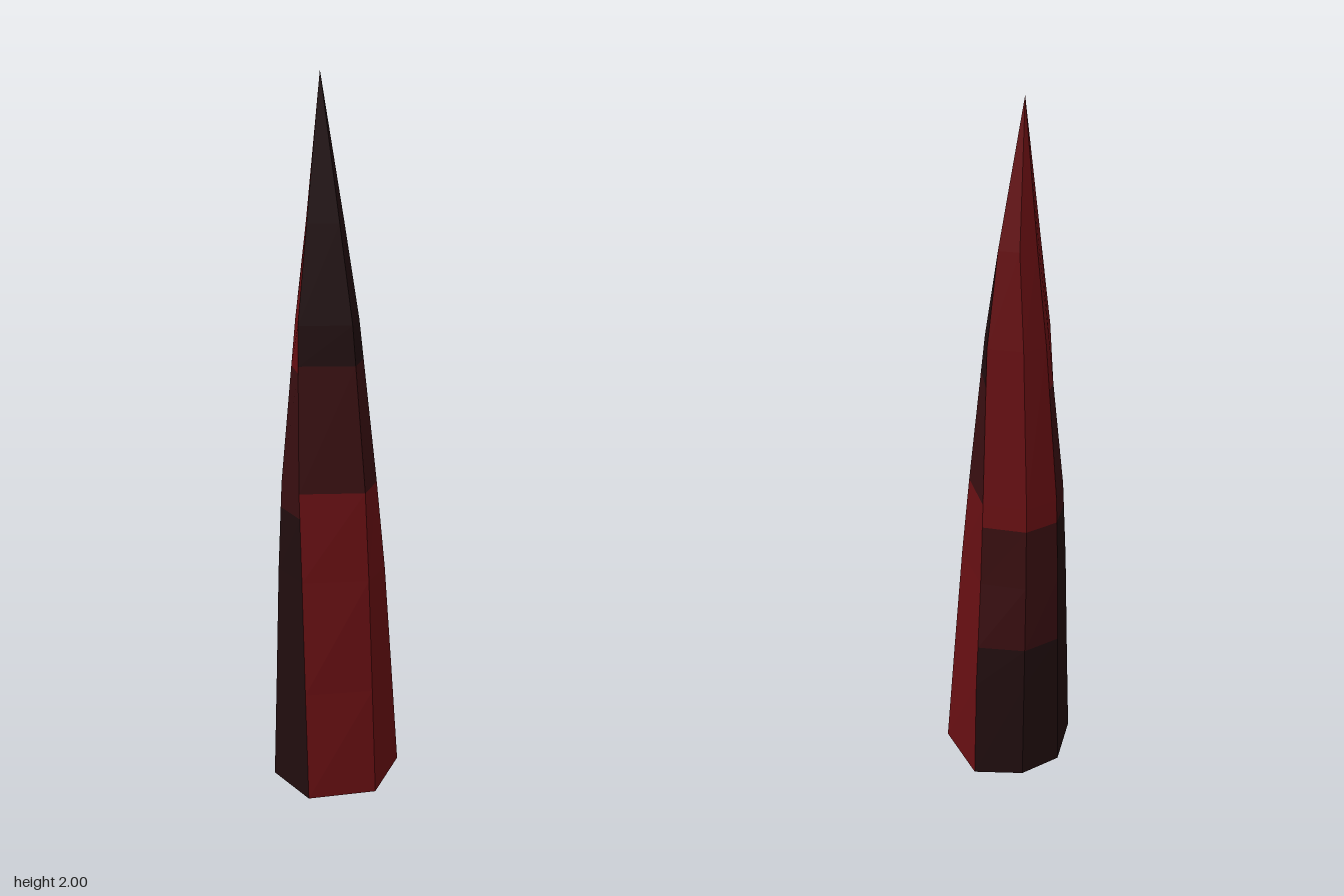
import * as THREE from 'three';

// Heights at which every ridge of the spike bends
const HEIGHTS = [0, 0.3, 0.62, 0.87, 1.33, 1.6, 2];
const TIP = [-0.045, -0.01];

// Seven ridges, counter-clockwise from the front: [x, z] at each height
const RIDGES = [
  [[-0.061, 0.218], [-0.072, 0.19], [-0.083, 0.16], [-0.092, 0.138], [-0.097, 0.095], [-0.076, 0.053], TIP],
  [[0.123, 0.158], [0.112, 0.142], [0.1, 0.126], [0.088, 0.113], [0.05, 0.078], [0.012, 0.043], TIP],
  [[0.175, -0.064], [0.157, -0.034], [0.137, -0.002], [0.113, -0.002], [0.062, -0.012], [0.02, -0.012], TIP],
  [[0.055, -0.222], [0.053, -0.198], [0.048, -0.152], [0.043, -0.136], [0.037, -0.1], [0.013, -0.07], TIP],
  [[-0.084, -0.199], [-0.084, -0.18], [-0.083, -0.155], [-0.08, -0.138], [-0.062, -0.098], [-0.045, -0.07], TIP],
  [[-0.173, -0.108], [-0.167, -0.096], [-0.16, -0.08], [-0.151, -0.068], [-0.114, -0.05], [-0.085, -0.037], TIP],
  [[-0.175, 0.061], [-0.168, 0.05], [-0.161, 0.04], [-0.152, 0.028], [-0.115, -0.015], [-0.084, -0.013], TIP],
];

// Colour bands of each side, from the bottom up, and the heights between them
const RISING = { bands: ['red', 'maroon', 'black'], cuts: [0.87, 1.22] };
const FALLING = { bands: ['black', 'maroon', 'red'], cuts: [0.8, 1.2] };
const FALLING_LOW = { bands: ['black', 'maroon', 'red'], cuts: [0.42, 0.8] };
const SIDES = [RISING, RISING, RISING, FALLING_LOW, FALLING_LOW, FALLING, FALLING];

// Point on a ridge at any height
function ridgePoint(ridge, y) {
  let i = 0;
  while (i < HEIGHTS.length - 2 && y > HEIGHTS[i + 1]) i++;
  const t = (y - HEIGHTS[i]) / (HEIGHTS[i + 1] - HEIGHTS[i]);
  const [a, b] = [ridge[i], ridge[i + 1]];
  return [a[0] + (b[0] - a[0]) * t, y, a[1] + (b[1] - a[1]) * t];
}

export function createModel() {
  const group = new THREE.Group();
  group.name = 'crystalSpike';

  const materials = {};
  for (const [name, color] of [['red', 0x660f12], ['maroon', 0x380e10], ['black', 0x200d0e]]) {
    materials[name] = new THREE.MeshStandardMaterial({ color, flatShading: true });
    materials[name].name = name;
  }

  function addFacets(name, points, colour) {
    const geometry = new THREE.BufferGeometry();
    geometry.setAttribute('position', new THREE.Float32BufferAttribute(points.flat(), 3));
    geometry.computeVertexNormals();
    const mesh = new THREE.Mesh(geometry, materials[colour]);
    mesh.name = name;
    group.add(mesh);
  }

  // Sides: each runs between two ridges and is split into three colour bands
  SIDES.forEach(({ bands, cuts }, s) => {
    const left = RIDGES[s];
    const right = RIDGES[(s + 1) % RIDGES.length];
    const limits = [0, ...cuts, 2];
    bands.forEach((colour, b) => {
      const [low, high] = [limits[b], limits[b + 1]];
      const levels = [low, ...HEIGHTS.filter((h) => h > low && h < high), high];
      const points = [];
      for (let i = 0; i < levels.length - 1; i++) {
        const [y0, y1] = [levels[i], levels[i + 1]];
        const l0 = ridgePoint(left, y0);
        const r0 = ridgePoint(right, y0);
        const l1 = ridgePoint(left, y1);
        const r1 = ridgePoint(right, y1);
        points.push(l0, r0, r1);
        if (y1 < 2) points.push(l0, r1, l1);
      }
      addFacets(`side${s + 1}Band${b + 1}`, points, colour);
    });
  });

  // Underside: facets facing down, given as ridge numbers
  const base = (list) => list.map((i) => ridgePoint(RIDGES[i], 0));
  addFacets('undersideFront', base([0, 2, 1]), 'red');
  addFacets('undersideMiddle', base([0, 3, 2, 0, 6, 3]), 'maroon');
  addFacets('undersideBack', base([3, 6, 5, 3, 5, 4]), 'black');

  return group;
}
